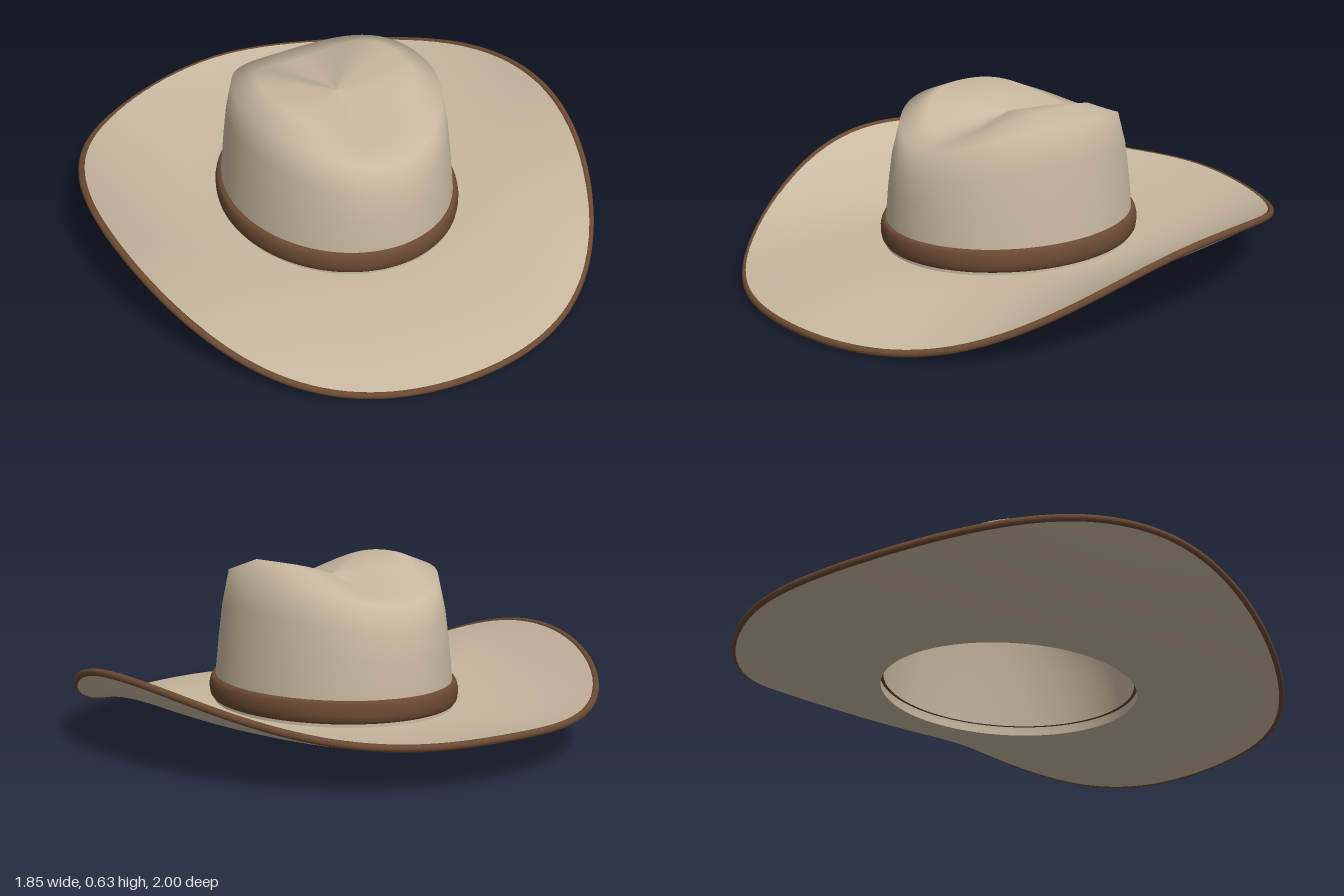
import * as THREE from 'three';
import { toCreasedNormals } from 'three/addons/utils/BufferGeometryUtils.js';

const SEG = 96;

// Lofts closed rings: each row is a function of angle giving [x, y, z]
function loft(rows) {
  const pos = [], index = [];
  rows.forEach((row, i) => {
    for (let j = 0; j < SEG; j++) {
      pos.push(...row((j / SEG) * Math.PI * 2));
      if (i === rows.length - 1) continue;
      const a = i * SEG + j, b = i * SEG + (j + 1) % SEG;
      index.push(a, a + SEG, b, b, a + SEG, b + SEG);
    }
  });
  const geo = new THREE.BufferGeometry();
  geo.setAttribute('position', new THREE.Float32BufferAttribute(pos, 3));
  geo.setIndex(index);
  geo.computeVertexNormals();
  return geo;
}

// Height of the brim's edge: curled up at the sides, low in front
function edgeHeight(a) {
  const s = Math.sin(a), c = Math.abs(Math.cos(a));
  return 0.298 * Math.pow(c, s > 0 ? 4 : 3) + 0.084 * s * s - 0.0715 * s;
}

// Middle surface of the brim, t = 0 at the crown and 1 at the edge
function brimPoint(t, a, lift = 0) {
  const rx = 0.412 + (0.913 - 0.412) * t;
  const rz = 0.475 + (0.988 - 0.475) * t;
  const y = 0.088 + (edgeHeight(a) - 0.088) * Math.pow(t, 1.8);
  return [rx * Math.cos(a), y + lift, rz * Math.sin(a)];
}

export function createModel() {
  const felt = new THREE.MeshStandardMaterial({ color: 0xc8b8a0, side: THREE.DoubleSide });
  felt.name = 'felt';
  const leather = new THREE.MeshStandardMaterial({ color: 0x6b4a32 });
  leather.name = 'brown leather';

  const hat = new THREE.Group();
  hat.name = 'hat';
  const add = (name, geo, mat) => {
    const mesh = new THREE.Mesh(geo, mat);
    mesh.name = name;
    hat.add(mesh);
  };

  // Crown: radius in x, radius in z, height at the sides, height at front and back
  const crownRows = [
    [0.418, 0.48, 0.085, 0.085],
    [0.41, 0.475, 0.2, 0.2],
    [0.396, 0.465, 0.33, 0.31],
    [0.381, 0.45, 0.46, 0.4],
    [0.36, 0.415, 0.59, 0.495],
    [0.27, 0.31, 0.625, 0.515],
    [0.135, 0.155, 0.6, 0.535],
    [0.06, 0.07, 0.578, 0.55],
    [0.001, 0.001, 0.562, 0.562],
  ];
  add('crown', loft(crownRows.map(([rx, rz, side, front]) => (a) => [
    rx * Math.cos(a),
    side + (front - side) * Math.pow(Math.abs(Math.sin(a)), 3),
    rz * Math.sin(a),
  ])), felt);

  // Brim: underside outwards, then the top back inwards
  const half = 0.0115, steps = 16, brimRows = [(a) => brimPoint(0, a, half)];
  for (let i = 0; i <= steps; i++) brimRows.push((a) => brimPoint(i / steps, a, -half));
  for (let i = steps; i >= 0; i--) brimRows.push((a) => brimPoint(i / steps, a, half));
  add('brim', toCreasedNormals(loft(brimRows), 0.7), felt);

  // Rolled trim along the brim's edge
  const edge = [];
  for (let j = 0; j < SEG; j++) {
    edge.push(new THREE.Vector3(...brimPoint(1, (j / SEG) * Math.PI * 2)));
  }
  const edgeCurve = new THREE.CatmullRomCurve3(edge, true);
  add('brimTrim', new THREE.TubeGeometry(edgeCurve, 160, 0.0125, 10, true), leather);

  // Hat band: distance from the crown's wall and height
  const bandRows = [
    [-0.008, 0.112], [0.01, 0.112], [0.017, 0.122], [0.02, 0.14],
    [0.02, 0.16], [0.016, 0.178], [0.01, 0.19], [-0.008, 0.192],
  ];
  add('hatBand', loft(bandRows.map(([out, y]) => (a) => [
    (0.414 + out) * Math.cos(a), y, (0.474 + out) * Math.sin(a),
  ])), leather);

  return hat;
}
